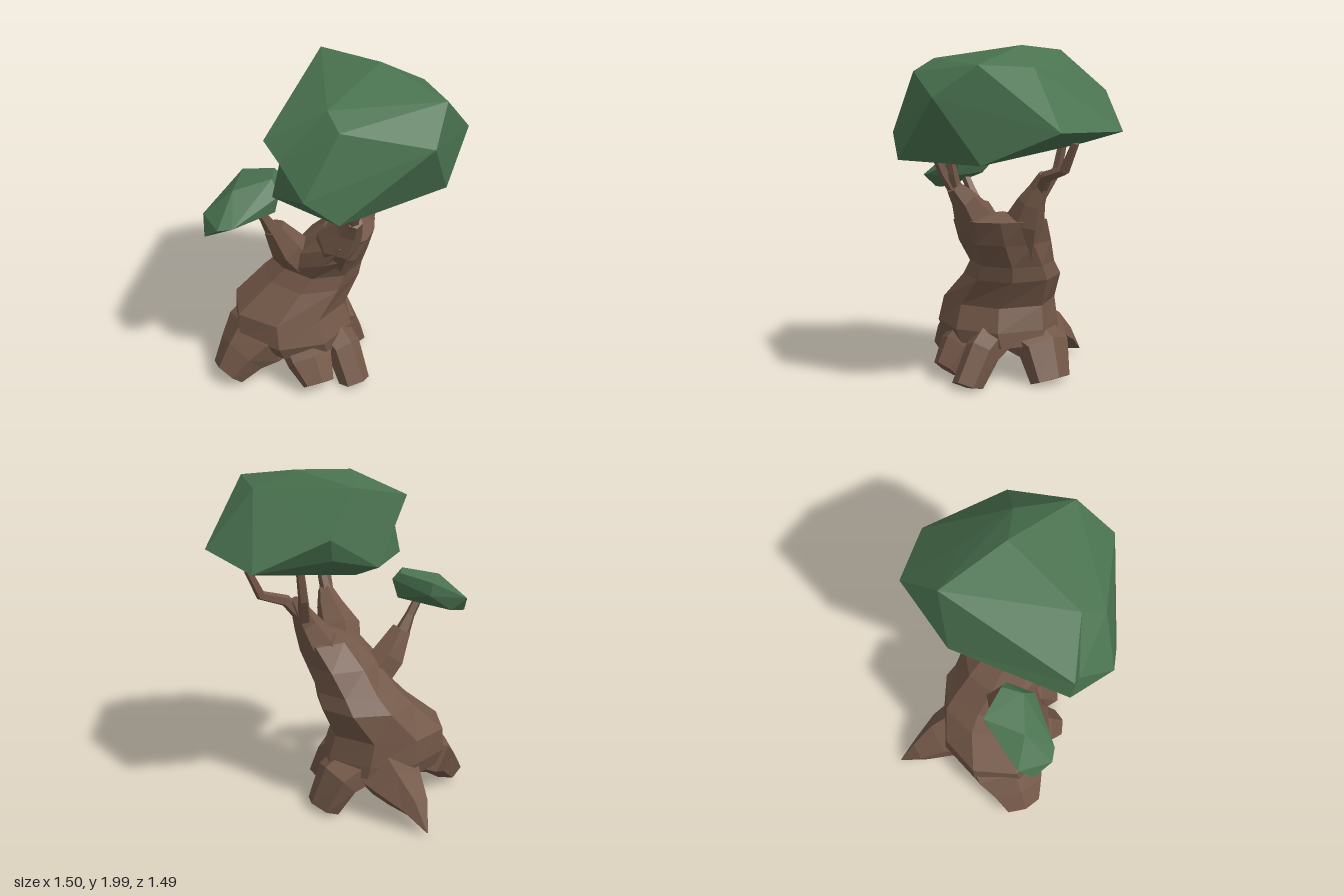
import * as THREE from 'three';
import { ConvexGeometry } from 'three/addons/geometries/ConvexGeometry.js';

const V = (x, y, z) => new THREE.Vector3(x, y, z);

// Skins a stack of equal rings and closes both ends with fans
function loft(rings, startCentre, endCentre) {
  const pos = [];
  const tri = (...p) => p.forEach((v) => pos.push(v.x, v.y, v.z));
  const n = rings[0].length;
  const last = rings.length - 1;
  for (let i = 0; i < n; i++) {
    const j = (i + 1) % n;
    for (let k = 0; k < last; k++) {
      const [a, b, c, d] = [rings[k][i], rings[k][j], rings[k + 1][j], rings[k + 1][i]];
      tri(a, b, c);
      tri(a, c, d);
    }
    tri(startCentre, rings[0][j], rings[0][i]);
    tri(endCentre, rings[last][i], rings[last][j]);
  }
  const geo = new THREE.BufferGeometry();
  geo.setAttribute('position', new THREE.Float32BufferAttribute(pos, 3));
  geo.computeVertexNormals();
  return geo;
}

// Tapered limb along [x, y, z, radius] stations; wide stretches it sideways
function limb(path, sides = 6, wide = 1) {
  const pts = path.map((p) => V(p[0], p[1], p[2]));
  const end = pts.length - 1;
  const dir = pts[end].clone().sub(pts[0]);
  const side = V(dir.z, 0, -dir.x).normalize();
  const rings = pts.map((p, k) => {
    const t = pts[Math.min(k + 1, end)].clone().sub(pts[Math.max(k - 1, 0)]).normalize();
    const up = t.clone().cross(side);
    return Array.from({ length: sides }, (_, i) => {
      const a = ((i + 0.5) / sides) * Math.PI * 2;
      const v = p.clone()
        .addScaledVector(side, Math.cos(a) * path[k][3] * wide)
        .addScaledVector(up, Math.sin(a) * path[k][3]);
      v.y = Math.max(v.y, 0.01); // feet rest flat on the ground
      return v;
    });
  });
  return loft(rings, pts[0], pts[end]);
}

export function createModel() {
  const model = new THREE.Group();
  const bark = new THREE.MeshStandardMaterial({ color: 0x735848, flatShading: true });
  bark.name = 'bark brown';
  const leaf = new THREE.MeshStandardMaterial({ color: 0x4a7350, flatShading: true });
  leaf.name = 'leaf green';
  const add = (name, geo, mat) => {
    const mesh = new THREE.Mesh(geo, mat);
    mesh.name = name;
    model.add(mesh);
  };

  // Trunk: elliptical eight-sided sections [y, centre x, centre z, radius x, radius z, turn]
  const sections = [
    [0.23, -0.15, -0.11, 0.36, 0.33, 0],
    [0.32, -0.18, -0.11, 0.38, 0.35, 0],
    [0.46, -0.19, -0.13, 0.36, 0.32, 0],
    [0.63, -0.05, -0.1, 0.29, 0.29, 0],
    [0.72, -0.01, -0.06, 0.25, 0.25, 0],
    [0.86, 0.02, 0.03, 0.27, 0.21, Math.PI / 4],
    [1.0, 0.07, 0.12, 0.27, 0.15, Math.PI / 4],
  ];
  const rings = sections.map(([y, cx, cz, rx, rz, turn]) =>
    Array.from({ length: 8 }, (_, i) => {
      const a = (i / 8) * Math.PI * 2;
      const r = 1 / Math.hypot(Math.sin(a - turn) / rx, Math.cos(a - turn) / rz);
      return V(cx + Math.sin(a) * r, y, cz + Math.cos(a) * r);
    }));
  add('trunk', loft(rings, V(-0.14, 0.38, -0.1), V(0.1, 1.05, 0.13)), bark);

  // Roots
  add('frontRoot', limb([[-0.04, 0.3, 0.02, 0.13], [-0.01, 0.2, 0.19, 0.11],
    [-0.01, 0.01, 0.31, 0.1]], 6, 0.95), bark);
  add('frontRightRoot', limb([[-0.2, 0.3, 0.02, 0.14], [-0.24, 0.18, 0.17, 0.11],
    [-0.24, 0.07, 0.27, 0.075]], 6, 1.3), bark);
  add('rightRoot', limb([[-0.28, 0.33, -0.14, 0.18], [-0.44, 0.25, -0.14, 0.17],
    [-0.54, 0.18, -0.13, 0.125], [-0.64, 0.07, -0.13, 0.085]], 6, 1.45), bark);
  add('leftRoot', limb([[-0.02, 0.28, -0.14, 0.13], [0.17, 0.2, -0.15, 0.11],
    [0.25, 0.02, -0.12, 0.085]], 6, 1.65), bark);
  add('backRoot', limb([[-0.09, 0.25, -0.28, 0.19], [-0.07, 0.2, -0.45, 0.135],
    [-0.08, 0.13, -0.6, 0.075], [-0.07, 0.03, -0.74, 0.003]], 5, 1.15), bark);

  // Main limbs
  add('leftLimb', limb([[0.11, 0.76, -0.01, 0.11], [0.19, 1.0, 0.04, 0.115],
    [0.255, 1.12, 0.05, 0.08], [0.3, 1.2, 0.04, 0.055], [0.34, 1.28, 0.04, 0.03]], 6), bark);
  add('frontLimb', limb([[0.0, 0.74, 0.05, 0.11], [-0.06, 1.0, 0.21, 0.13],
    [-0.05, 1.12, 0.3, 0.08], [-0.06, 1.2, 0.37, 0.045]], 6), bark);
  add('rightLimb', limb([[-0.03, 0.62, -0.03, 0.13], [-0.24, 0.87, -0.07, 0.11],
    [-0.32, 1.02, -0.08, 0.065]], 6), bark);

  // Thin branches reaching the foliage
  const branches = {
    leftOuterBranch: [[0.31, 1.19, 0.04, 0.04], [0.38, 1.27, 0.06, 0.035],
      [0.53, 1.32, 0.08, 0.03], [0.61, 1.48, 0.08, 0.022]],
    leftInnerBranch: [[0.29, 1.16, 0.01, 0.04], [0.34, 1.3, -0.07, 0.03],
      [0.37, 1.48, -0.09, 0.025]],
    frontOuterBranch: [[-0.06, 1.16, 0.34, 0.04], [-0.09, 1.28, 0.41, 0.03],
      [-0.11, 1.4, 0.46, 0.025]],
    frontInnerBranch: [[-0.06, 1.16, 0.34, 0.04], [-0.05, 1.28, 0.38, 0.03],
      [-0.05, 1.42, 0.41, 0.025]],
    rightBranch: [[-0.32, 0.99, -0.08, 0.05], [-0.38, 1.1, -0.08, 0.03],
      [-0.46, 1.23, -0.08, 0.025]],
  };
  for (const [name, path] of Object.entries(branches)) add(name, limb(path, 5), bark);

  // Foliage: faceted hulls, the main crown with an overhanging lobe on its right
  const hull = (points) => new ConvexGeometry(points.map((p) => V(...p)));
  add('mainFoliage', hull([
    [0.26, 2.0, 0.14], [0.38, 1.91, 0.59], [0.19, 1.74, 0.745], [0.745, 1.56, 0.34],
    [0.72, 1.53, -0.19], [0.38, 1.73, -0.44], [0.34, 1.6, -0.39], [0.47, 1.89, 0.26],
    [0.4, 1.84, -0.07], [-0.23, 1.92, 0.35], [-0.25, 1.85, 0.49], [-0.47, 1.63, 0.25],
    [-0.46, 1.49, 0.47], [-0.3, 1.35, 0.57], [0.4, 1.38, 0.59], [-0.49, 1.41, 0.2],
    [0, 1.5, -0.32], [0.15, 1.96, -0.3], [0, 1.4, -0.08], [0.58, 1.47, -0.02],
  ]), leaf);
  add('foliageLobe', hull([
    [-0.53, 1.76, 0.19], [-0.23, 1.92, 0.35], [0.26, 2.0, 0.14], [0.15, 1.96, -0.3],
    [0, 1.5, -0.32], [-0.47, 1.63, 0.25],
  ]), leaf);
  add('smallFoliage', hull([
    [-0.4, 1.34, -0.28], [-0.39, 1.26, -0.27], [-0.71, 1.18, -0.2], [-0.75, 1.08, -0.12],
    [-0.73, 1.17, 0], [-0.66, 1.09, -0.1], [-0.66, 1.18, 0.045], [-0.57, 1.33, -0.1],
    [-0.36, 1.38, -0.02], [-0.36, 1.3, 0.05], [-0.28, 1.38, -0.12], [-0.25, 1.34, -0.08],
    [-0.29, 1.22, -0.08], [-0.38, 1.2, 0.04], [-0.42, 1.19, -0.21], [-0.6, 1.12, -0.19],
  ]), leaf);

  return model;
}
